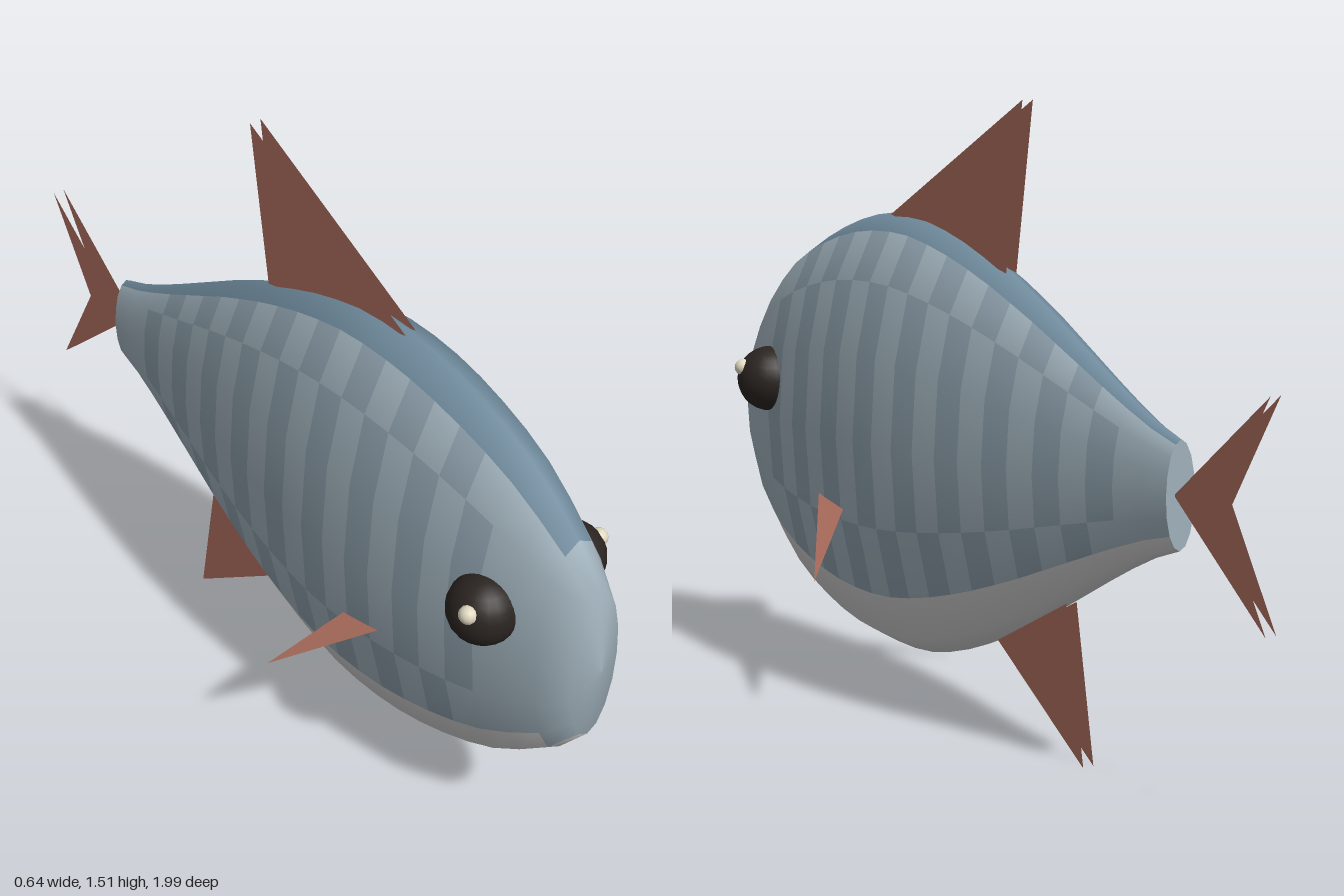
import * as THREE from 'three';

const paint = (color, side = THREE.FrontSide) => new THREE.MeshStandardMaterial({ color, side });

export function createModel() {
  const fish = new THREE.Group();
  const add = (name, geometry, material, parent = fish) => {
    const mesh = new THREE.Mesh(geometry, material);
    mesh.name = name;
    parent.add(mesh);
    return mesh;
  };

  const flankMat = paint(0x9fb0ba);
  const finMat = paint(0xb07060, THREE.DoubleSide);
  const eyeMat = paint(0x2a2420);
  const glintMat = paint(0xe0d8c0);

  // Body: a lathe squashed sideways, radii listed from tail to nose
  const SIDES = 16, CENTRE = 0.688, SQUASH = 0.338, TAIL = -0.709, STEP = 0.0764;
  const radii = [
    0.122, 0.15, 0.188, 0.23, 0.274, 0.318, 0.362, 0.402, 0.44, 0.473, 0.502, 0.525,
    0.542, 0.548, 0.546, 0.537, 0.52, 0.496, 0.466, 0.427, 0.372, 0.305, 0.205,
  ];
  const profile = radii.map((r, i) => new THREE.Vector2(r, TAIL + i * STEP));
  profile.push(new THREE.Vector2(0, 0.995));
  const body = new THREE.LatheGeometry(profile, SIDES);
  body.rotateX(Math.PI / 2).scale(SQUASH, 1, 1).translate(0, CENTRE, 0);

  // Sort the body's faces into colour regions
  const region = (side, ring) => {
    const up = Math.min(side, SIDES - 1 - side); // 0 at the belly, 7 at the back
    if (up === 7 && ring < 21) return 'back';
    if (up === 0 && ring < 22 || up === 1 && ring < 21) return 'belly';
    const row = up === 6 || up === 2 ? 1 : 0;
    const checked = ring >= 2 && ring < 19;
    return checked && (ring + row) % 2 === 0 ? 'scales' : 'flank';
  };
  const faces = { back: [], belly: [], scales: [], flank: [] };
  const all = body.index.array, rings = profile.length - 1;
  for (let side = 0; side < SIDES; side++) {
    for (let ring = 0; ring < rings; ring++) {
      const start = (side * rings + ring) * 6;
      faces[region(side, ring)].push(...all.slice(start, start + 6));
    }
  }
  const skin = { back: paint(0x6f8a9c), belly: paint(0xc8c8c6), scales: paint(0x8c9eaa), flank: flankMat };
  for (const name in faces) {
    const part = new THREE.BufferGeometry();
    for (const key of ['position', 'normal', 'uv']) part.setAttribute(key, body.attributes[key]);
    part.setIndex(faces[name]);
    add(name, part, skin[name]);
  }
  const stump = new THREE.CircleGeometry(radii[0], SIDES).rotateY(Math.PI).scale(SQUASH, 1, 1);
  add('tailEnd', stump, flankMat).position.set(0, CENTRE, TAIL);

  // Upright fins: each a pair of thin sheets, outlined as [z, y]
  const fins = {
    dorsalFin: [[0.36, 1.23], [-0.17, 1.52], [-0.11, 1.12]],
    analFin: [[-0.08, 0.24], [-0.34, 0.38], [-0.405, 0.005]],
    tailFin: [[-0.705, 0.69], [-0.995, 0.94], [-0.855, 0.69], [-0.995, 0.435]],
  };
  for (const name in fins) {
    const pair = new THREE.Group();
    pair.name = name;
    fish.add(pair);
    const outline = new THREE.Shape(fins[name].map(([z, y]) => new THREE.Vector2(-z, y)));
    const sheet = new THREE.ShapeGeometry(outline).rotateY(Math.PI / 2);
    for (const x of [-0.015, 0.015]) add(name + 'Sheet', sheet, finMat, pair).position.x = x;
  }

  // Paired parts: eyes, their glints and the side fins
  for (const s of [1, -1]) {
    const label = s > 0 ? 'left' : 'right';
    add(label + 'Eye', new THREE.SphereGeometry(0.084, 20, 14), eyeMat).position.set(s * 0.13, 0.785, 0.757);
    add(label + 'EyeGlint', new THREE.SphereGeometry(0.022, 12, 8), glintMat).position.set(s * 0.197, 0.817, 0.778);
    const corners = [[0.165, 0.535, 0.47], [0.17, 0.51, 0.35], [0.322, 0.363, 0.25]];
    const fin = new THREE.BufferGeometry().setFromPoints(
      corners.map(([x, y, z]) => new THREE.Vector3(s * x, y, z)));
    fin.computeVertexNormals();
    add(label + 'PectoralFin', fin, finMat);
  }
  return fish;
}
